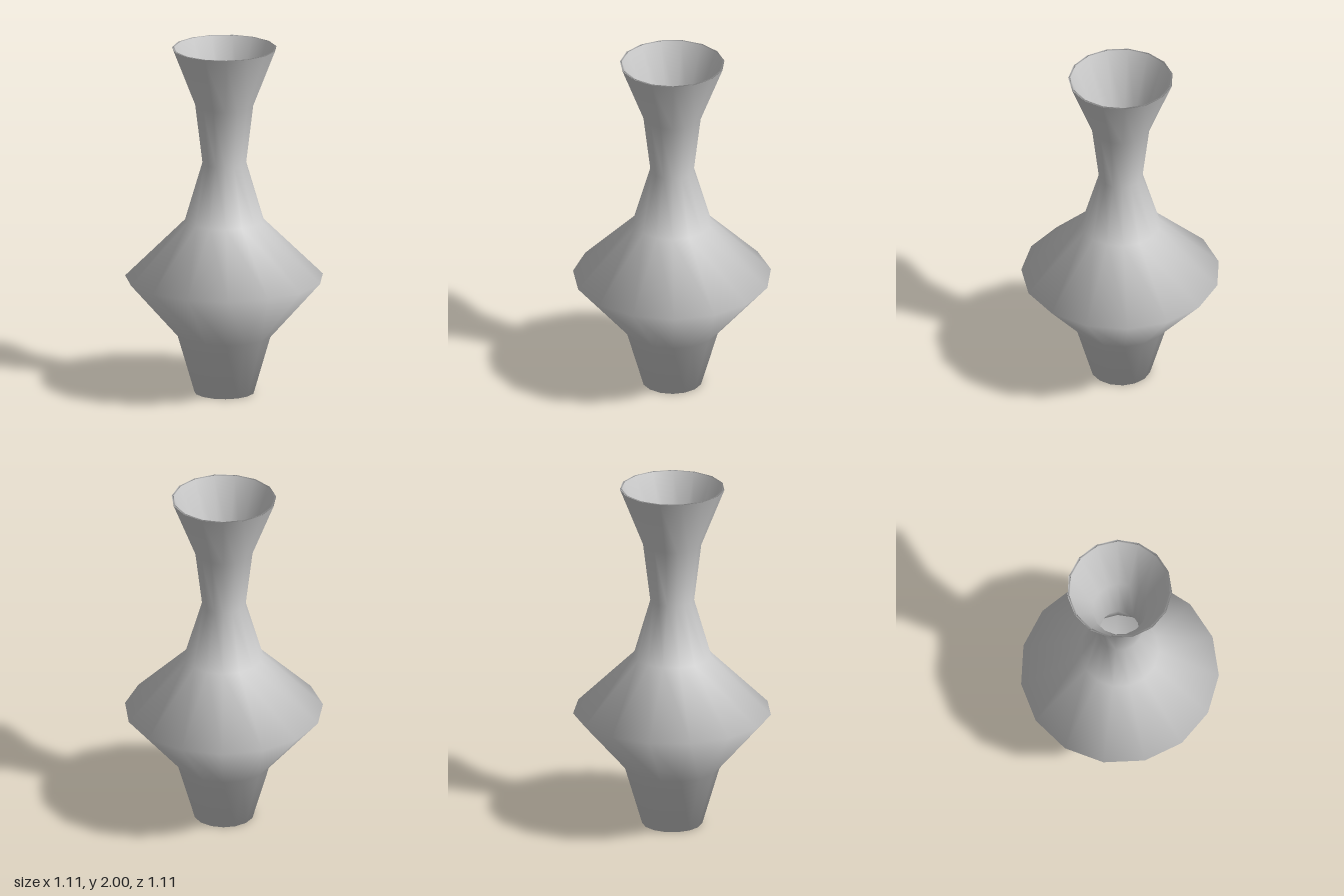
import * as THREE from 'three';

export function createModel() {
  const model = new THREE.Group();
  model.name = 'vase';

  // One closed profile: underside, outer wall, rim, inner wall, inner floor
  const wall = 0.013;
  const outer = [
    [0.17, 0], [0.268, 0.335], [0.56, 0.667], [0.222, 1],
    [0.124, 1.333], [0.165, 1.667], [0.296, 2],
  ];
  const inner = outer.map(([r, y], i) => [r - wall, i === 0 ? wall : y]).reverse();
  const profile = [[0, 0], ...outer, ...inner, [0, wall]]
    .map(([r, y]) => new THREE.Vector2(r, y));

  // Fifteen sides with a corner on +x, shifted so the width is centred
  const geometry = new THREE.LatheGeometry(profile, 15, Math.PI / 2);
  geometry.translate(-0.006, 0, 0);

  const body = new THREE.Mesh(
    geometry,
    new THREE.MeshStandardMaterial({ color: 0xcccccc })
  );
  body.name = 'vaseBody';
  model.add(body);
  return model;
}
